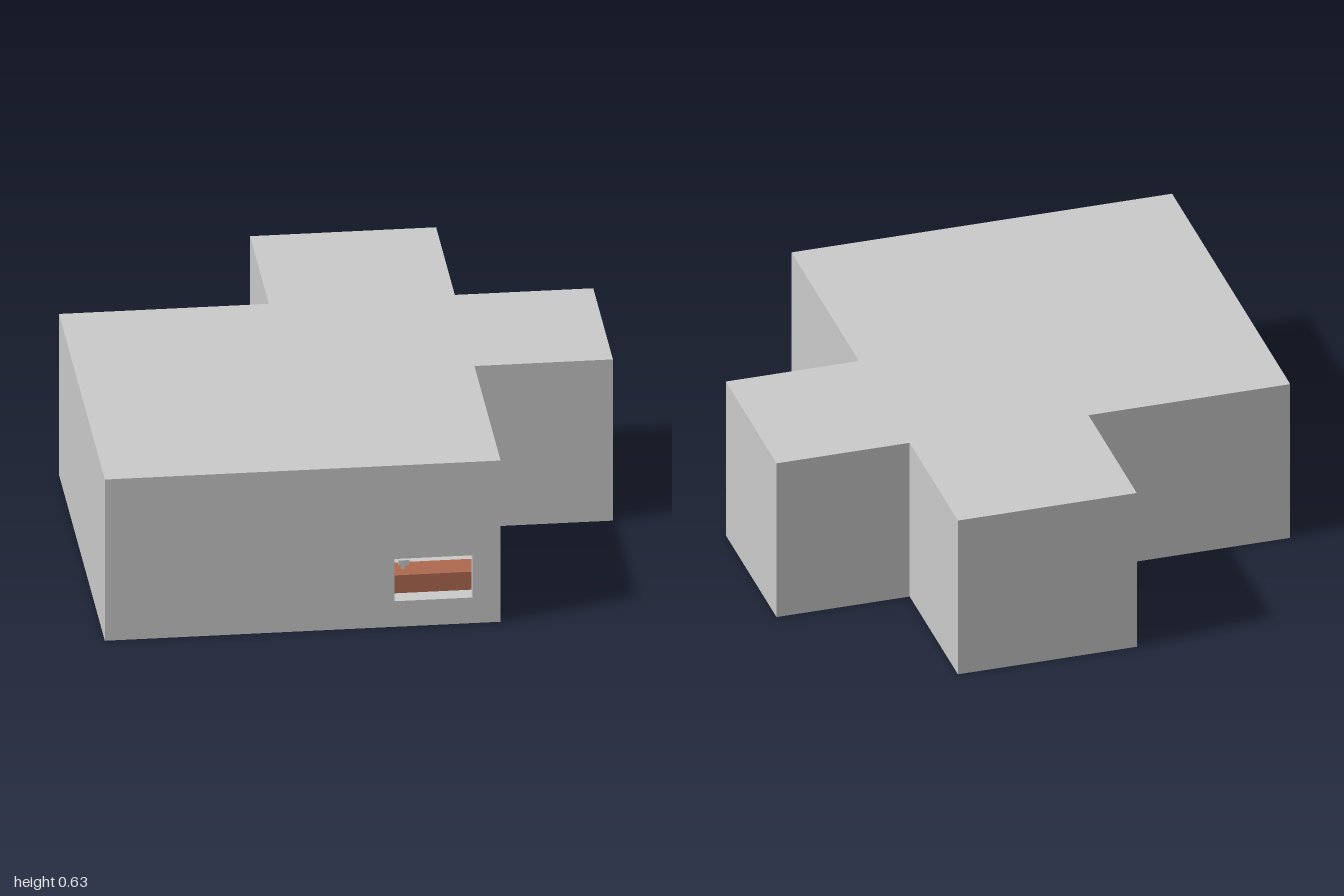
import * as THREE from 'three';

const T = 0.03, H = 0.63, SLAB = 0.02;
const grey = new THREE.MeshStandardMaterial({ color: 0xcccccc });
const brown = new THREE.MeshStandardMaterial({ color: 0xb06a50 });

const shapeOf = (pts) => new THREE.Shape(pts.map(([x, y]) => new THREE.Vector2(x, y)));

function add(parent, name, geometry, material = grey) {
  const mesh = new THREE.Mesh(geometry, material);
  mesh.name = name;
  parent.add(mesh);
  return mesh;
}

// Raise a floor-plan outline, given as [x, z] points, from y0 to y1
function raisePlan(plan, y0, y1) {
  const shape = shapeOf(plan.map(([x, z]) => [x, -z]));
  const geo = new THREE.ExtrudeGeometry(shape, { depth: y1 - y0, bevelEnabled: false });
  return geo.rotateX(-Math.PI / 2).translate(0, y0, 0);
}

// Upright wall in the xy plane with one rectangular opening
function wallWithOpening(x0, x1, y0, y1, z0, [a, b, c, d]) {
  const wall = shapeOf([[x0, y0], [x1, y0], [x1, y1], [x0, y1]]);
  wall.holes.push(shapeOf([[a, c], [a, d], [b, d], [b, c]]));
  return new THREE.ExtrudeGeometry(wall, { depth: T, bevelEnabled: false }).translate(0, 0, z0);
}

function box(x0, x1, y0, y1, z0, z1) {
  return new THREE.BoxGeometry(x1 - x0, y1 - y0, z1 - z0)
    .translate((x0 + x1) / 2, (y0 + y1) / 2, (z0 + z1) / 2);
}

export function createModel() {
  const house = new THREE.Group();
  house.name = 'house';

  // Cross-shaped plan, from the front left corner round the back
  const outer = [
    [-0.955, 1], [-0.955, -0.42], [-0.205, -0.42], [-0.205, -1], [0.46, -1],
    [0.46, -0.42], [0.955, -0.42], [0.955, 0.19], [0.46, 0.19], [0.46, 1],
  ];
  const inner = [
    [-0.925, 1], [-0.925, -0.39], [-0.175, -0.39], [-0.175, -0.97], [0.43, -0.97],
    [0.43, -0.39], [0.925, -0.39], [0.925, 0.16], [0.43, 0.16], [0.43, 1],
  ];
  // Walls stop behind the front wall
  const trim = (plan) => plan.map(([x, z]) => [x, Math.min(z, 1 - T)]);

  add(house, 'floor', raisePlan(outer, 0, SLAB));
  add(house, 'roof', raisePlan(outer, H - SLAB, H));
  add(house, 'sideAndBackWalls',
    raisePlan([...trim(outer), ...trim(inner).reverse()], SLAB, H - SLAB));
  add(house, 'frontWall',
    wallWithOpening(-0.955, 0.46, SLAB, H - SLAB, 1 - T, [0.08, 0.36, 0.10, 0.265]));

  // Inner wall with a doorway
  add(house, 'partitionWall',
    wallWithOpening(-0.925, 0.43, SLAB, H - SLAB, 0.16, [0.16, 0.31, SLAB + 0.001, 0.42]));

  // L-shaped kitchen counter behind the window
  add(house, 'counter', raisePlan([
    [-0.06, 0.97], [-0.06, 0.65], [0.43, 0.65], [0.43, 0.76], [0.06, 0.76], [0.06, 0.97],
  ], SLAB, 0.09), brown);

  // Tap
  const tap = new THREE.Group();
  tap.name = 'tap';
  add(tap, 'tapStem', box(0.14, 0.152, 0.09, 0.118, 0.70, 0.712));
  add(tap, 'tapHead', box(0.127, 0.165, 0.116, 0.136, 0.698, 0.735));
  house.add(tap);

  return house;
}
